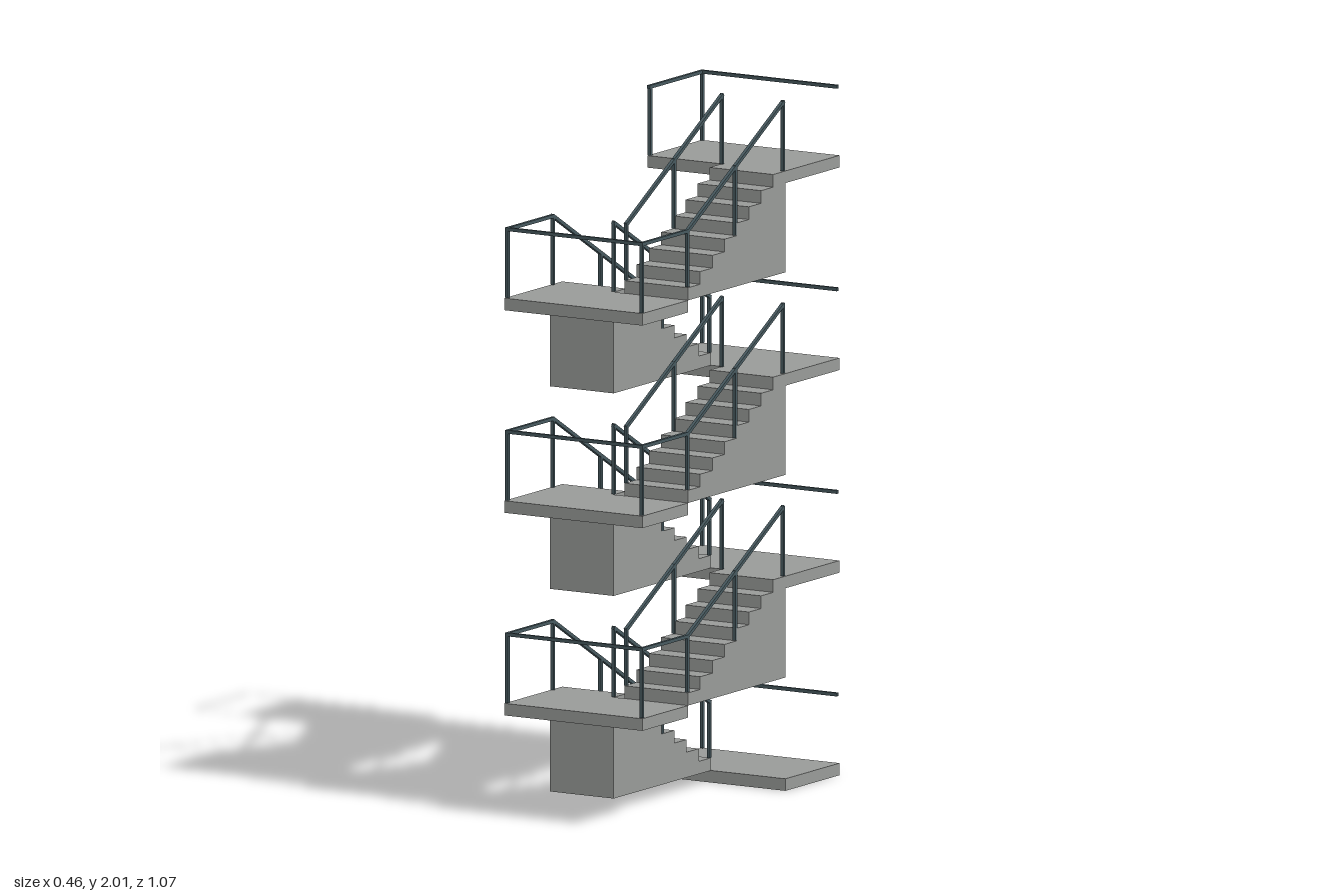
import * as THREE from 'three';

const RISE = 0.294, BASE = 0.035, STEPS = 8;
const Z_BACK = -0.24, Z_FRONT = 0.286, Z_END = 0.533, X_SIDE = 0.232;
const RUN = Z_FRONT - Z_BACK, Z_MID = (Z_FRONT + Z_BACK) / 2;
const RAIL_H = 0.2, BAR = 0.01, X_RAIL = 0.226, X_INNER = 0.021, Z_RAIL = 0.526;

const concrete = new THREE.MeshStandardMaterial({ color: 0x999b99 });
concrete.name = 'concreteGrey';
const steel = new THREE.MeshStandardMaterial({ color: 0x47595f });
steel.name = 'railSteel';

// Square bar between two points
function bar(name, a, b) {
  const from = new THREE.Vector3(...a), to = new THREE.Vector3(...b);
  const mesh = new THREE.Mesh(new THREE.BoxGeometry(BAR, BAR, from.distanceTo(to) + BAR * 0.8), steel);
  mesh.name = name;
  mesh.position.copy(from).add(to).multiplyScalar(0.5);
  mesh.lookAt(to);
  return mesh;
}

// Upright standing on y0 and ending at the handrail
const post = (x, z, y0, y1) => bar('railPost', [x, y0 + BAR / 2, z], [x, y1, z]);

// Solid stair flight with both handrails, rising from +z to -z on the +x side
function flight() {
  const g = new THREE.Group();
  g.name = 'stairFlight';
  const tread = RUN / STEPS, riser = RISE / STEPS;
  const profile = new THREE.Shape();
  profile.moveTo(0, 0);
  for (let i = 0; i < STEPS; i++) {
    profile.lineTo(i * tread, (i + 1) * riser);
    profile.lineTo((i + 1) * tread, (i + 1) * riser);
  }
  profile.lineTo(RUN, 0);
  const geo = new THREE.ExtrudeGeometry(profile, { depth: X_SIDE - 0.018, bevelEnabled: false });
  geo.rotateY(Math.PI / 2);
  geo.translate(0.018, 0, RUN / 2);
  const steps = new THREE.Mesh(geo, concrete);
  steps.name = 'steps';
  g.add(steps);

  const z = RUN / 2 - BAR / 2;
  for (const x of [X_INNER, X_RAIL]) {
    g.add(bar('slopedHandrail', [x, RAIL_H, z], [x, RISE + RAIL_H, -z]));
    g.add(post(x, z, riser, RAIL_H));
    g.add(post(x, 0, riser * 4, RISE / 2 + RAIL_H));
    g.add(post(x, -z, RISE, RISE + RAIL_H));
  }
  return g;
}

// Landing slab with its guard rails; local y = 0 is the walking surface
function landing(atFront) {
  const g = new THREE.Group();
  g.name = atFront ? 'frontLanding' : 'backLanding';
  const inner = atFront ? Z_FRONT : Z_BACK;
  const outer = atFront ? Z_END : -Z_END;
  const slab = new THREE.Mesh(new THREE.BoxGeometry(X_SIDE * 2, BASE, Math.abs(outer - inner)), concrete);
  slab.name = 'slab';
  slab.position.set(0, -BASE / 2, (inner + outer) / 2);
  g.add(slab);

  const z = atFront ? Z_RAIL : -Z_RAIL;
  g.add(bar('endRail', [-X_RAIL, RAIL_H, z], [X_RAIL, RAIL_H, z]));
  // The back landing is open on its +x side
  for (const x of atFront ? [-X_RAIL, X_RAIL] : [-X_RAIL]) {
    g.add(bar('sideRail', [x, RAIL_H, inner], [x, RAIL_H, z]));
    g.add(post(x, z, 0, RAIL_H));
    if (!atFront) g.add(post(x, inner - BAR / 2, 0, RAIL_H));
  }
  return g;
}

export function createModel() {
  const model = new THREE.Group();
  model.name = 'staircaseTower';
  for (let level = 0; level <= 6; level++) {
    const y = BASE + level * RISE;
    const atFront = level % 2 === 1;
    const platform = landing(atFront);
    platform.position.y = y;
    model.add(platform);
    if (level < 6) {
      // Flights alternate direction by a half turn about the stairwell
      const stairs = flight();
      stairs.position.set(0, y, Z_MID);
      if (!atFront) stairs.rotation.y = Math.PI;
      model.add(stairs);
    }
  }
  return model;
}
